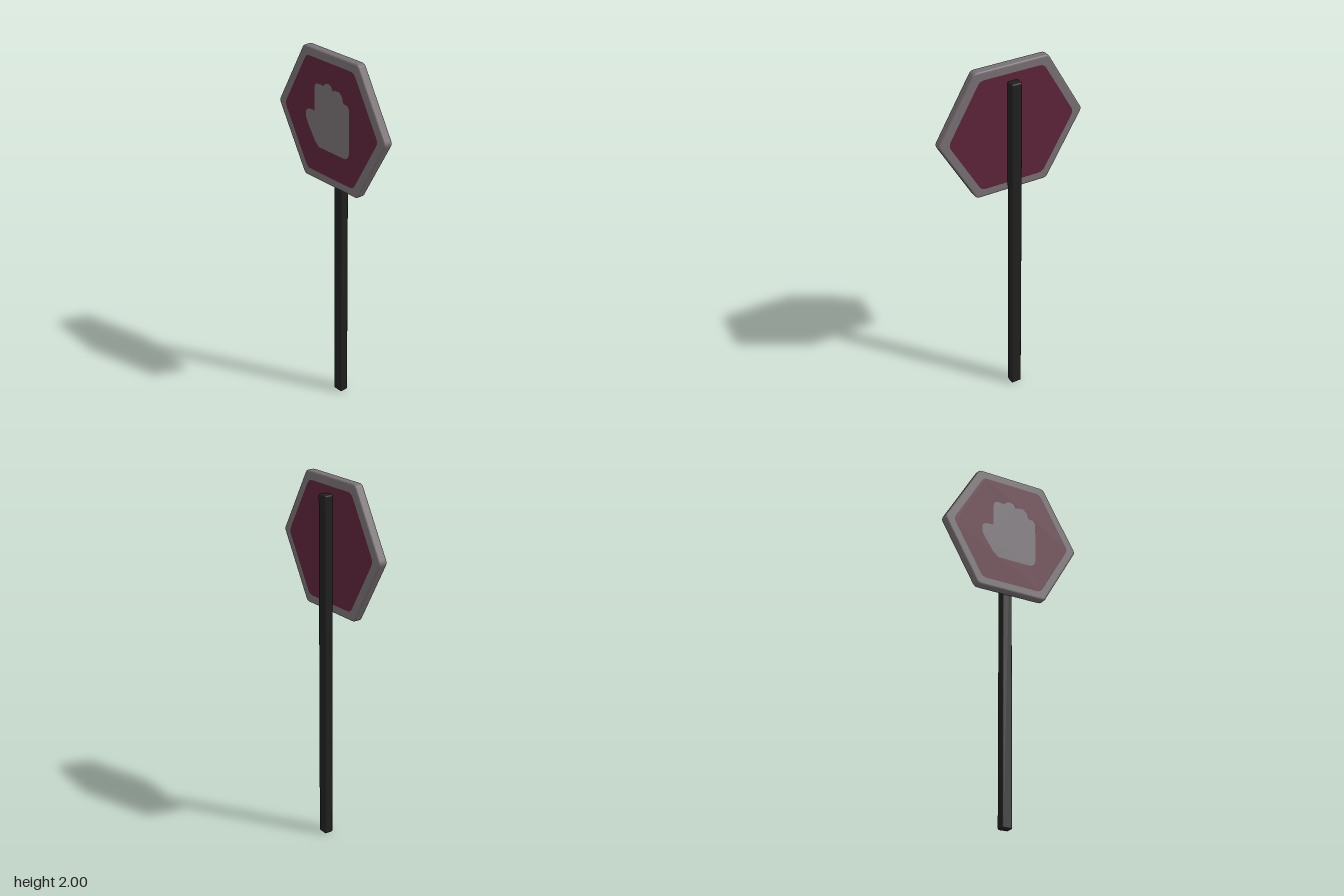
import * as THREE from 'three';
import { RoundedBoxGeometry } from 'three/addons/geometries/RoundedBoxGeometry.js';

const CENTER_Y = 1.645;

function material(name, color) {
  const m = new THREE.MeshStandardMaterial({ color });
  m.name = name;
  return m;
}

// Hexagon with softened corners, points to the left and right
function hexagon(apothem, soft) {
  const r = apothem / Math.cos(Math.PI / 6);
  const corner = (i) => new THREE.Vector2(r, 0).rotateAround(new THREE.Vector2(), (i * Math.PI) / 3);
  const shape = new THREE.Shape();
  for (let i = 0; i < 6; i++) {
    const c = corner(i);
    const a = c.clone().lerp(corner(i - 1), soft / r);
    const b = c.clone().lerp(corner(i + 1), soft / r);
    if (i === 0) shape.moveTo(a.x, a.y);
    else shape.lineTo(a.x, a.y);
    shape.quadraticCurveTo(c.x, c.y, b.x, b.y);
  }
  shape.closePath();
  return shape;
}

export function createModel() {
  const model = new THREE.Group();
  const grey = material('warm grey', 0x787074);
  const red = material('dark crimson', 0x5e2439);
  const black = material('near black', 0x202020);

  function add(name, geometry, mat, x, y, z) {
    const mesh = new THREE.Mesh(geometry, mat);
    mesh.name = name;
    mesh.position.set(x, y, z);
    model.add(mesh);
    return mesh;
  }

  // Square post standing behind the board
  add('post', new RoundedBoxGeometry(0.06, 1.915, 0.05, 2, 0.008), black, 0, 0.9575, -0.025);

  // Board with bevelled rim
  const board = new THREE.ExtrudeGeometry(hexagon(0.345, 0.012), {
    depth: 0.03, bevelEnabled: true, bevelSize: 0.01, bevelThickness: 0.01, bevelSegments: 3, curveSegments: 3,
  });
  add('board', board, grey, 0, CENTER_Y, 0.01);

  // Coloured panels on both faces
  const panel = new THREE.ShapeGeometry(hexagon(0.309, 0.025), 4);
  add('frontPanel', panel, red, 0, CENTER_Y, 0.051);
  add('backPanel', panel, red, 0, CENTER_Y, -0.001).rotation.y = Math.PI;

  // Raised-hand symbol: thumb, palm, then fingertips from right to left
  const outline = [
    [-0.164, 1.67], [-0.185, 1.653], [-0.185, 1.616], [-0.17, 1.585], [-0.115, 1.505], [-0.085, 1.48],
    [0.116, 1.48], [0.138, 1.492], [0.148, 1.516], [0.148, 1.75], [0.135, 1.769], [0.103, 1.774],
    [0.095, 1.803], [0.075, 1.823], [0.042, 1.823], [0.024, 1.815], [0.01, 1.838], [-0.012, 1.845],
    [-0.032, 1.838], [-0.048, 1.823], [-0.092, 1.825], [-0.11, 1.815], [-0.116, 1.796], [-0.116, 1.672],
  ];
  const hand = new THREE.Shape(outline.map(([x, y]) => new THREE.Vector2(x, y - CENTER_Y)));
  add('handSymbol', new THREE.ShapeGeometry(hand), grey, 0, CENTER_Y, 0.052);

  return model;
}
